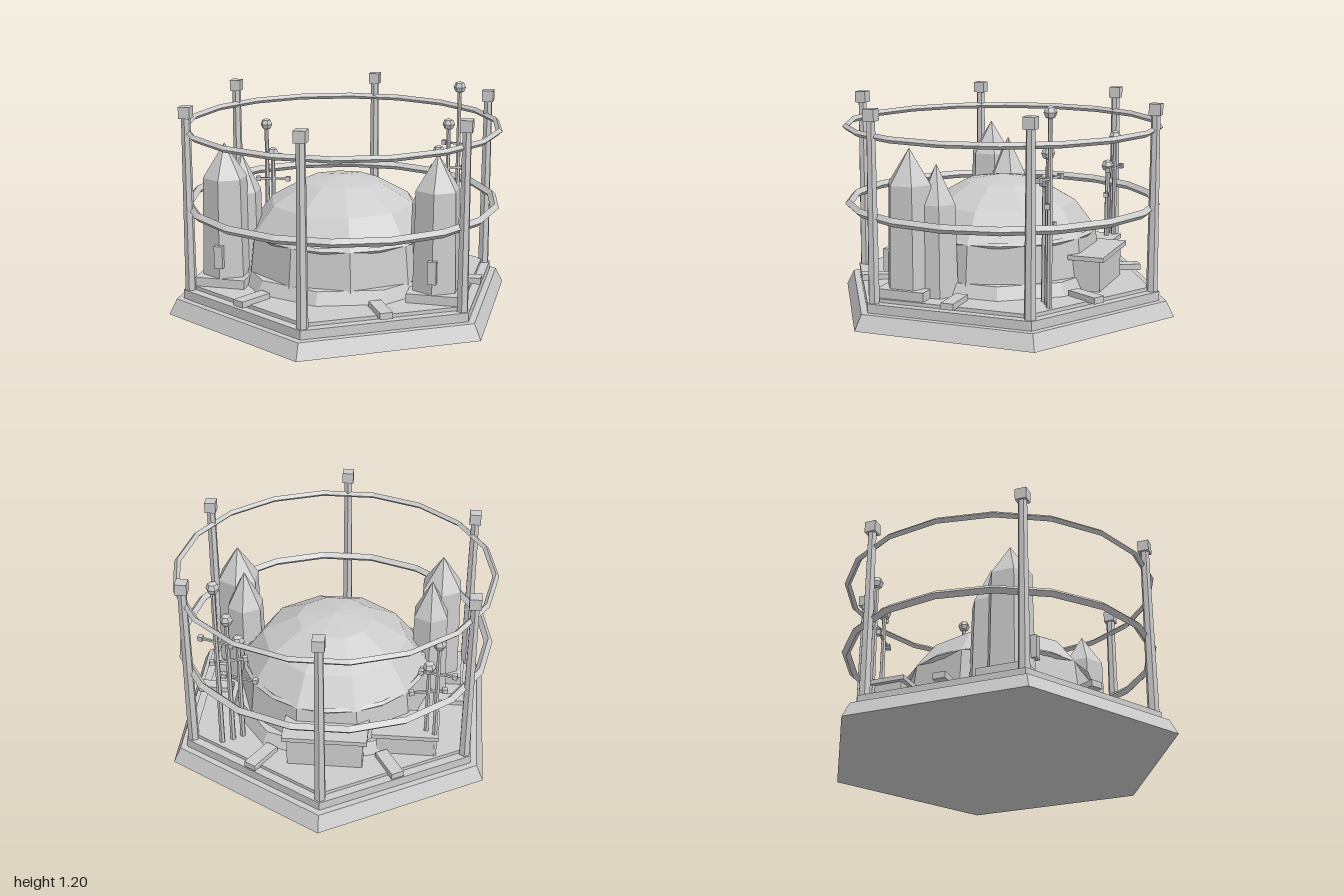
import * as THREE from 'three';

export function createModel() {
  const stone = new THREE.MeshStandardMaterial({ color: 0xcccccc, flatShading: true });
  stone.name = 'pale grey';
  const model = new THREE.Group();
  model.name = 'domedOutpost';

  function add(name, geometry, x = 0, y = 0, z = 0, parent = model) {
    const mesh = new THREE.Mesh(geometry, stone);
    mesh.name = name;
    mesh.position.set(x, y, z);
    parent.add(mesh);
    return mesh;
  }
  // upright prism standing between two heights
  function prism(name, rTop, rBottom, y0, y1, sides, x = 0, z = 0, parent = model) {
    return add(name, new THREE.CylinderGeometry(rTop, rBottom, y1 - y0, sides), x, (y0 + y1) / 2, z, parent);
  }
  // box standing between two heights
  function block(name, w, d, y0, y1, x, z, parent = model) {
    return add(name, new THREE.BoxGeometry(w, y1 - y0, d), x, (y0 + y1) / 2, z, parent);
  }
  function ring(name, radius, tube, y, sides) {
    add(name, new THREE.TorusGeometry(radius, tube, 4, sides).rotateX(Math.PI / 2), 0, y, 0);
  }

  // stepped hexagonal platform
  prism('platformBase', 0.955, 1, 0, 0.085, 6);
  prism('platformStep', 0.915, 0.915, 0.085, 0.135, 6);
  prism('platformFloor', 0.86, 0.86, 0.135, 0.155, 6);

  // fence posts with cube caps, and radial floor slabs between them
  for (let i = 0; i < 6; i++) {
    const a = (i * Math.PI) / 3;
    const x = Math.sin(a) * 0.873, z = Math.cos(a) * 0.873;
    prism('fencePost', 0.025, 0.032, 0.135, 1.105, 6, x, z);
    block('postCap', 0.063, 0.063, 1.1, 1.163, x, z);
    const b = a + Math.PI / 6;
    const slab = block('floorSlab', 0.07, 0.2, 0.15, 0.185, Math.sin(b) * 0.7, Math.cos(b) * 0.7);
    slab.rotation.y = b;
  }

  // fence rails
  ring('upperRail', 0.872, 0.018, 1.017, 18);
  ring('lowerRail', 0.86, 0.024, 0.587, 18);

  // central dome on a ten-sided wall and plinth
  prism('domePlinth', 0.57, 0.605, 0.15, 0.225, 10);
  prism('domeWall', 0.525, 0.55, 0.2, 0.43, 10).rotation.y = Math.PI / 10;
  const profile = [[0.527, 0.43], [0.41, 0.585], [0.212, 0.698], [0, 0.732]];
  const dome = add('dome', new THREE.LatheGeometry(profile.map(([r, y]) => new THREE.Vector2(r, y)), 10));
  dome.rotation.y = Math.PI / 10;
  ring('domeBand', 0.507, 0.016, 0.43, 20);

  // lidded crates behind the dome
  function crate(x, z, w, d, top) {
    block('crate', w - 0.05, d - 0.05, 0.15, top - 0.025, x, z);
    block('crateLid', w, d, top - 0.025, top, x, z);
  }
  crate(0, -0.56, 0.46, 0.2, 0.35);
  crate(-0.428, -0.408, 0.365, 0.235, 0.3);

  // paired pointed towers on each side
  function spire(name, x, z, rBottom, rTop, shoulder, tip, parent) {
    prism(name + 'Shaft', rTop, rBottom, 0.155, shoulder, 6, x, z, parent);
    add(name + 'Tip', new THREE.ConeGeometry(rTop, tip - shoulder, 6), x, (shoulder + tip) / 2, z, parent);
  }
  for (const side of [-1, 1]) {
    const towers = new THREE.Group();
    towers.name = side < 0 ? 'rightTowers' : 'leftTowers';
    model.add(towers);
    spire('largeTower', side * 0.59, 0.3, 0.135, 0.123, 0.755, 0.945, towers);
    spire('smallTower', side * 0.535, 0.17, 0.122, 0.108, 0.65, 0.86, towers);
    block('towerFoot', 0.28, 0.27, 0.155, 0.205, side * 0.59, 0.3, towers);
    block('towerDoor', 0.048, 0.05, 0.27, 0.395, side * 0.59, 0.425, towers);
  }

  // antenna masts: x, z, head height, crossbar height, bar turn
  const masts = [
    [0.585, -0.48, 1.165, 0.83, -0.3],
    [0.53, -0.45, 0.95, 0.69, 0.3],
    [0.48, -0.415, 0.795, 0.55, -0.2],
    [-0.587, -0.485, 0.89, 0.7, -0.15],
    [-0.54, -0.455, 0.72, 0.56, 0.2],
  ];
  for (const [x, z, h, barY, turn] of masts) {
    const mast = new THREE.Group();
    mast.name = 'antennaMast';
    mast.position.set(x, 0, z);
    model.add(mast);
    prism('mastPole', 0.012, 0.016, 0.155, h, 6, 0, 0, mast);
    add('mastHead', new THREE.SphereGeometry(0.036, 6, 4), 0, h, 0, mast);
    const bar = new THREE.Group();
    bar.name = 'crossbar';
    bar.position.y = barY;
    bar.rotation.y = turn;
    mast.add(bar);
    add('crossbarRod', new THREE.BoxGeometry(0.18, 0.012, 0.012), 0, 0, 0, bar);
    for (const s of [-1, 1]) add('crossbarEnd', new THREE.BoxGeometry(0.027, 0.027, 0.027), s * 0.09, 0, 0, bar);
  }
  return model;
}
